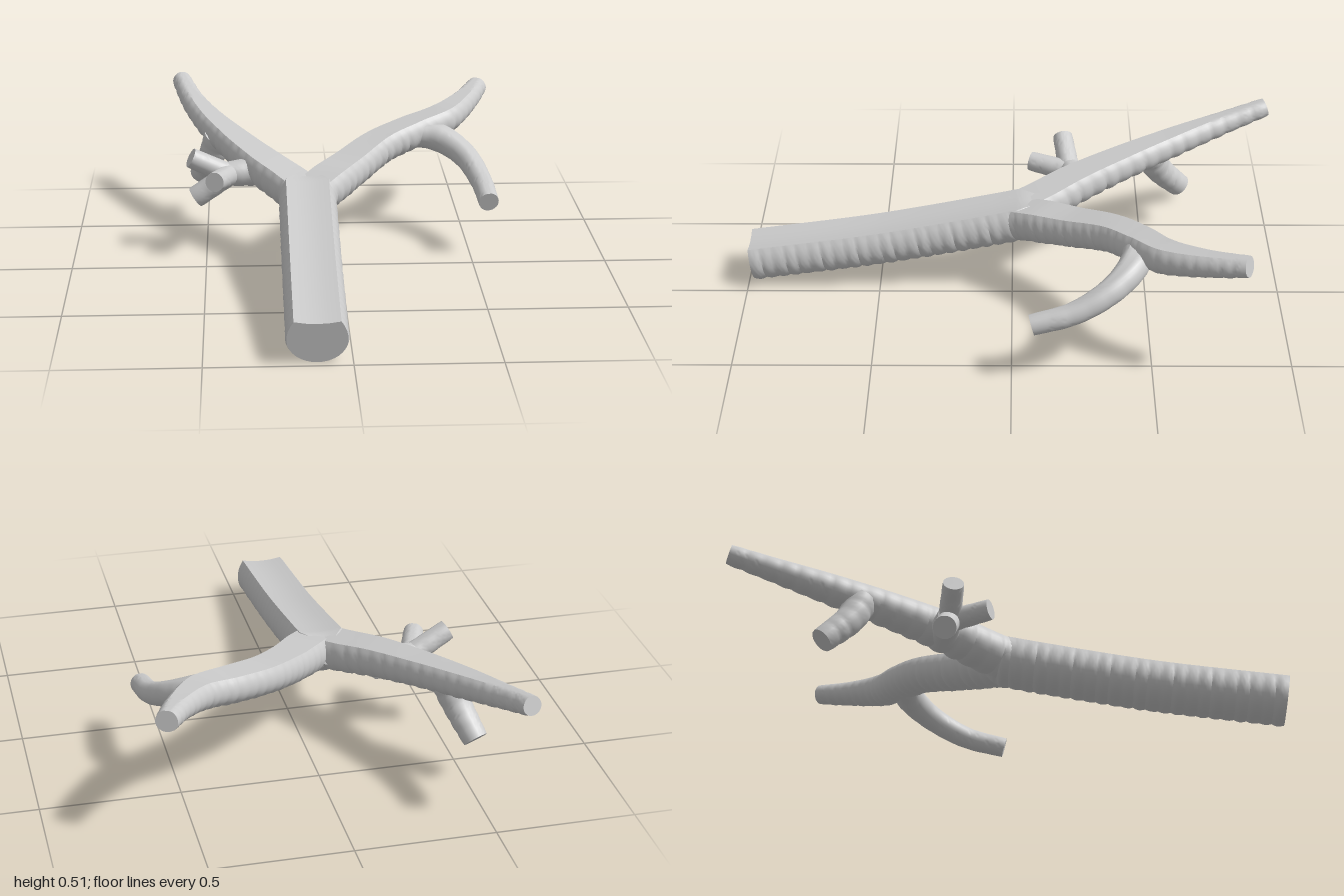
import * as THREE from 'three';
import { toCreasedNormals } from 'three/addons/utils/BufferGeometryUtils.js';

const material = new THREE.MeshStandardMaterial({ color: 0xcccccc });
const ARC = 24;  // steps round the bark
const TOP = 4;   // steps across the planed top
const RINGS = 6; // rings per bark ridge

// Sweeps a round section with a planed top along a path.
// Each path point is [x, y, z, radius, height of the flat as a share of the radius].
function limb(name, path, { ridge = 0.045, depth = 0.07, squash = 1, dip = 0 } = {}) {
  const curve = new THREE.CatmullRomCurve3(path.map(p => new THREE.Vector3(p[0], p[1], p[2])), false, 'centripetal');
  const ridges = Math.max(2, Math.round(curve.getLength() / ridge));
  const steps = ridges * RINGS;
  const cols = ARC + TOP;
  const pos = [], index = [];
  const up = new THREE.Vector3(0, 1, 0);

  for (let i = 0; i <= steps; i++) {
    const u = i / steps;
    const f = curve.getUtoTmapping(u) * (path.length - 1);
    const k = Math.min(Math.floor(f), path.length - 2);
    const mix = c => THREE.MathUtils.lerp(path[k][c], path[k + 1][c], f - k);
    const r = mix(3), flat = mix(4);
    const c = curve.getPointAt(u), t = curve.getTangentAt(u);
    const side = new THREE.Vector3().crossVectors(t, up).normalize();
    const lift = new THREE.Vector3().crossVectors(side, t);
    // rounded ridges with a slightly uneven height
    const wave = Math.abs(Math.sin(u * ridges * Math.PI)) - 0.6;
    const bark = depth * wave * (0.8 + 0.3 * Math.sin(u * ridges * 2.3));
    const a0 = Math.asin(flat);
    const edge = Math.cos(a0);
    for (let j = 0; j < cols; j++) {
      let x, y;
      if (j <= ARC) {
        const a = Math.PI - a0 + (Math.PI + 2 * a0) * j / ARC;
        const s = 1 + bark * Math.sqrt(Math.abs(Math.sin(Math.PI * j / ARC)));
        x = Math.cos(a) * s;
        y = Math.sin(a) * s;
        if (y < 0) y *= squash;
      } else {
        const v = 1 - 2 * (j - ARC) / TOP;
        x = edge * v;
        y = flat - dip * (1 - v * v);
      }
      const p = c.clone().addScaledVector(side, x * r).addScaledVector(lift, y * r);
      pos.push(p.x, p.y, p.z);
    }
  }
  for (let i = 0; i < steps; i++) {
    for (let j = 0; j < cols; j++) {
      const a = i * cols + j, b = i * cols + (j + 1) % cols;
      index.push(a, a + cols, b, b, a + cols, b + cols);
    }
  }
  // sawn ends
  const first = pos.length / 3, last = steps * cols;
  for (const u of [0, 1]) pos.push(...curve.getPointAt(u).toArray());
  for (let j = 0; j < cols; j++) {
    const n = (j + 1) % cols;
    index.push(first, j, n, first + 1, last + n, last + j);
  }
  const geo = new THREE.BufferGeometry();
  geo.setAttribute('position', new THREE.Float32BufferAttribute(pos, 3));
  geo.setIndex(index);
  const mesh = new THREE.Mesh(toCreasedNormals(geo, 0.6), material);
  mesh.name = name;
  return mesh;
}

export function createModel() {
  const model = new THREE.Group();
  model.name = 'forkedBranch';

  // trunk, wedge-shaped where it meets the fork
  model.add(limb('trunk', [
    [-0.12, 0.087, 0.985, 0.105, 0.66],
    [-0.12, 0.158, 0.5, 0.105, 0.66],
    [-0.12, 0.24, 0.08, 0.106, 0.66],
    [-0.12, 0.266, -0.04, 0.106, 0.66],
    [-0.12, 0.288, -0.14, 0.045, 0.9],
  ], { squash: 0.82, dip: 0.08 }));

  // left arm of the fork with its hooked twig
  model.add(limb('leftArm', [
    [-0.1, 0.265, -0.02, 0.085, 0.66],
    [-0.03, 0.29, -0.115, 0.086, 0.66],
    [0.05, 0.315, -0.22, 0.08, 0.66],
    [0.17, 0.358, -0.36, 0.074, 0.68],
    [0.3, 0.388, -0.455, 0.072, 0.7],
    [0.43, 0.415, -0.54, 0.066, 0.75],
    [0.53, 0.447, -0.68, 0.05, 0.85],
    [0.595, 0.475, -0.815, 0.04, 0.95],
  ], { squash: 0.9, depth: 0.08 }));
  model.add(limb('leftTwig', [
    [0.3, 0.385, -0.45, 0.05, 0.85],
    [0.41, 0.368, -0.43, 0.055, 0.9],
    [0.5, 0.32, -0.35, 0.047, 0.95],
    [0.55, 0.258, -0.22, 0.041, 0.97],
    [0.565, 0.218, -0.07, 0.038, 0.97],
  ], { depth: 0.03, ridge: 0.07 }));

  // right arm of the fork
  model.add(limb('rightArm', [
    [-0.13, 0.265, -0.02, 0.085, 0.66],
    [-0.19, 0.285, -0.115, 0.084, 0.66],
    [-0.27, 0.312, -0.23, 0.08, 0.66],
    [-0.38, 0.348, -0.42, 0.07, 0.7],
    [-0.49, 0.388, -0.64, 0.058, 0.8],
    [-0.56, 0.428, -0.82, 0.046, 0.9],
    [-0.607, 0.473, -0.985, 0.037, 0.97],
  ], { ridge: 0.06, depth: 0.1, squash: 0.9 }));

  // stout stub under the right arm
  model.add(limb('lowerStub', [
    [-0.45, 0.36, -0.53, 0.06, 0.95],
    [-0.48, 0.275, -0.565, 0.053, 0.97],
    [-0.527, 0.17, -0.655, 0.045, 0.97],
  ], { depth: 0.06 }));

  // knot on the right arm carrying three short stubs
  model.add(limb('knotStem', [
    [-0.26, 0.3, -0.26, 0.06, 0.95],
    [-0.36, 0.298, -0.235, 0.052, 0.97],
    [-0.45, 0.295, -0.215, 0.043, 0.97],
  ], { depth: 0.05 }));
  const hub = [-0.41, 0.295, -0.22, 0.042, 0.97];
  const stubEnds = {
    upperKnotStub: [-0.555, 0.37, -0.195, 0.038, 0.97],
    lowerKnotStub: [-0.54, 0.205, -0.225, 0.042, 0.97],
    frontKnotStub: [-0.465, 0.31, -0.07, 0.037, 0.97],
  };
  for (const [name, end] of Object.entries(stubEnds)) {
    model.add(limb(name, [hub, end], { depth: 0.04, ridge: 0.05 }));
  }
  return model;
}
